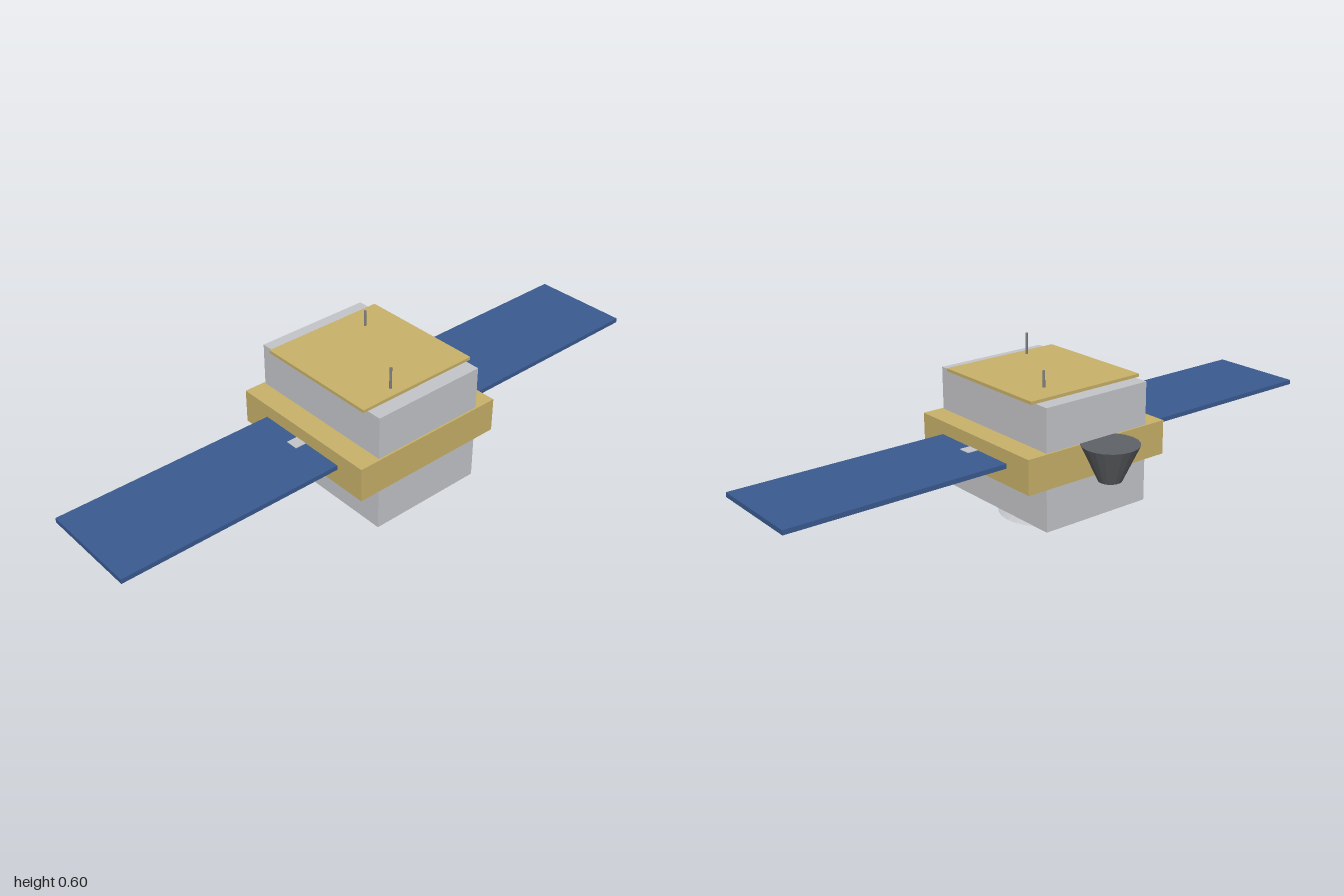
import * as THREE from 'three';

const material = (name, color) => {
  const m = new THREE.MeshStandardMaterial({ color, flatShading: true });
  m.name = name;
  return m;
};

export function createModel() {
  const group = new THREE.Group();
  group.name = 'satellite';

  const silver = material('silver', 0xc4c5c9);
  const gold = material('gold foil', 0xc8b169);
  const blue = material('solar blue', 0x3a5a90);
  const dark = material('dark grey', 0x5f6266);
  const steel = material('steel grey', 0x808084);

  const add = (name, geometry, mat, x, y, z) => {
    const mesh = new THREE.Mesh(geometry, mat);
    mesh.name = name;
    mesh.position.set(x, y, z);
    group.add(mesh);
  };
  // Box given by its lower and upper limits on each axis
  const box = (name, mat, [x0, x1], [y0, y1], [z0, z1]) =>
    add(name, new THREE.BoxGeometry(x1 - x0, y1 - y0, z1 - z0), mat,
      (x0 + x1) / 2, (y0 + y1) / 2, (z0 + z1) / 2);
  // Upright cone or rod given by its end heights and radii
  const round = (name, mat, x, z, [y0, y1], [r0, r1], sides) =>
    add(name, new THREE.CylinderGeometry(r1, r0, y1 - y0, sides), mat, x, (y0 + y1) / 2, z);

  const cx = 0.071;

  // Main bus with its gold belt and top blanket
  box('body', silver, [-0.191, 0.333], [0.124, 0.516], [-0.197, 0.197]);
  box('belt', gold, [-0.197, 0.339], [0.264, 0.376], [-0.269, 0.269]);
  box('topPlate', gold, [-0.141, 0.284], [0.516, 0.526], [-0.213, 0.213]);

  // Solar wings and their hinge blocks, front and back
  for (const s of [1, -1]) {
    const span = (a, b) => (s > 0 ? [a, b] : [-b, -a]);
    box('solarPanel', blue, [-0.093, 0.235], [0.318, 0.333], span(0.26, 1));
    box('panelHinge', silver, [0.05, 0.092], [0.3165, 0.3345], span(0.25, 0.306));
  }

  // Horn antenna on the right side
  round('horn', dark, -0.25, 0, [0.26, 0.377], [0.037, 0.091], 20);

  // Dish underneath, with its feed mast
  round('dish', silver, cx, 0, [0.061, 0.12], [0.146, 0.017], 24);
  round('dishMast', steel, cx, 0, [0, 0.126], [0.006, 0.006], 12);

  // Whip antennas on top
  round('antenna', steel, -0.06, -0.1, [0.52, 0.579], [0.004, 0.004], 10);
  round('antenna', steel, 0.251, 0.08, [0.52, 0.596], [0.004, 0.004], 10);

  return group;
}
